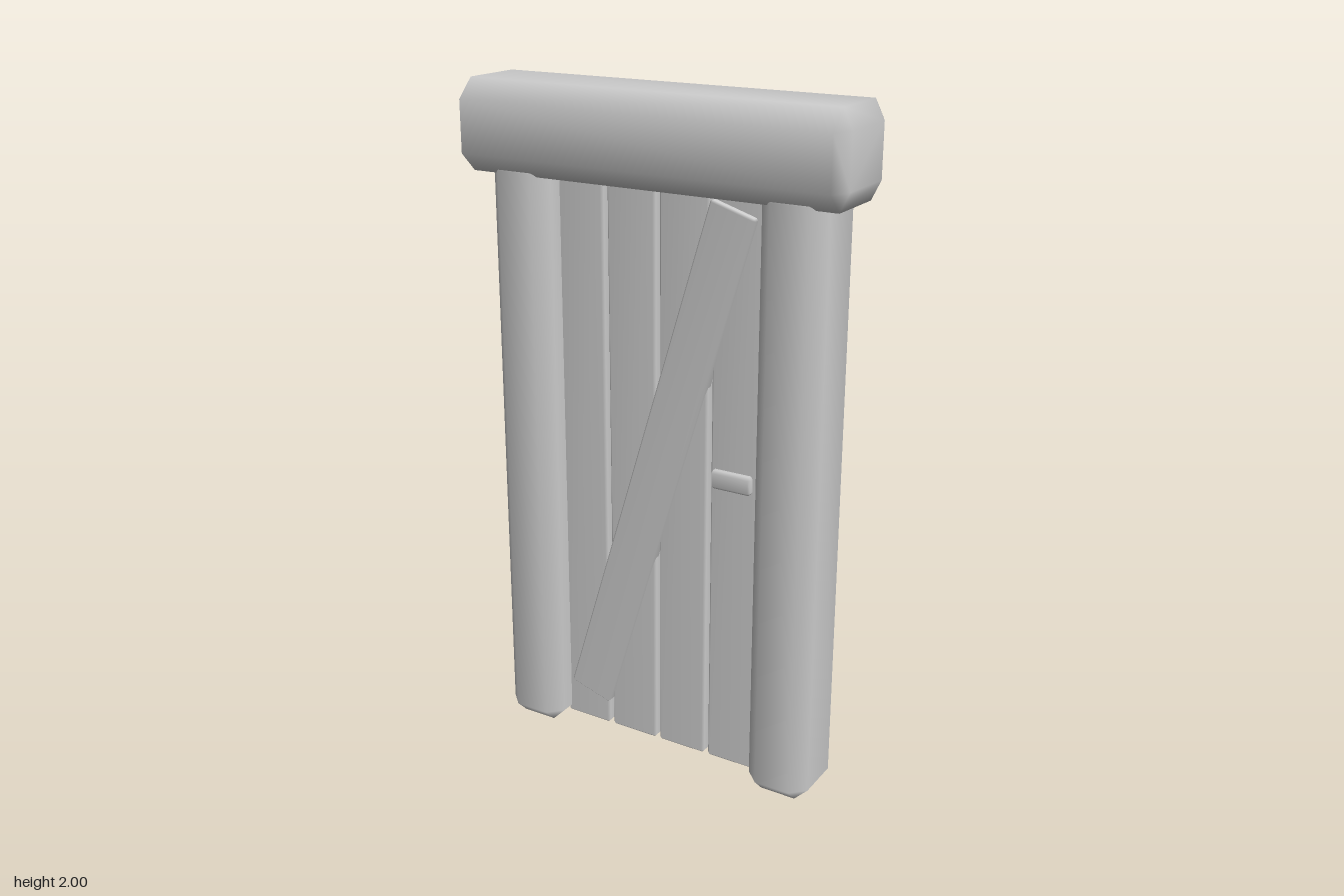
import * as THREE from 'three';
import { ConvexGeometry } from 'three/addons/geometries/ConvexGeometry.js';
import { mergeVertices } from 'three/addons/utils/BufferGeometryUtils.js';

const material = new THREE.MeshStandardMaterial({ color: 0xcccccc });

// Box with chamfered edges and shared normals; bevel is the inset along each axis
function bevelBox(size, bevel) {
  const points = [];
  for (const sx of [-1, 1]) for (const sy of [-1, 1]) for (const sz of [-1, 1]) {
    for (let face = 0; face < 3; face++) {
      const c = [sx, sy, sz].map((s, i) => s * (size[i] / 2 - (i === face ? 0 : bevel[i])));
      points.push(new THREE.Vector3(...c));
    }
  }
  const hull = new ConvexGeometry(points);
  hull.deleteAttribute('normal');
  const geometry = mergeVertices(hull, 1e-5);
  geometry.computeVertexNormals();
  return geometry;
}

// Timber spanning min..max on each axis
function timber(name, min, max, bevel) {
  const size = min.map((v, i) => max[i] - v);
  const mesh = new THREE.Mesh(bevelBox(size, bevel), material);
  mesh.name = name;
  mesh.position.set(...min.map((v, i) => (v + max[i]) / 2));
  return mesh;
}

export function createModel() {
  const door = new THREE.Group();
  door.name = 'door';

  // Heavy frame: lintel resting on two posts
  door.add(timber('lintel', [-0.597, 1.74, -0.15], [0.593, 2, 0.15], [0.027, 0.055, 0.055]));
  door.add(timber('rightPost', [-0.52, 0, -0.11], [-0.327, 1.79, 0.11], [0.042, 0.042, 0.042]));
  door.add(timber('leftPost', [0.337, 0, -0.11], [0.53, 1.79, 0.11], [0.042, 0.042, 0.042]));

  // Four upright planks with narrow gaps
  const planks = new THREE.Group();
  planks.name = 'planks';
  for (let i = 0; i < 4; i++) {
    const x = -0.34 + i * 0.17;
    planks.add(timber('plank', [x, 0.02, -0.025], [x + 0.156, 1.8, 0.025], [0.007, 0.007, 0.007]));
  }
  door.add(planks);

  // Diagonal brace on the front
  const brace = timber('brace', [-0.071, -0.825, 0], [0.071, 0.825, 0.045], [0.006, 0.006, 0.006]);
  brace.position.set(-0.002, 0.916, 0.0225);
  brace.rotation.z = -0.295;
  door.add(brace);

  // Handle bar passing through the door
  door.add(timber('handle', [0.18, 0.905, -0.045], [0.305, 0.96, 0.045], [0.006, 0.008, 0.008]));
  return door;
}
